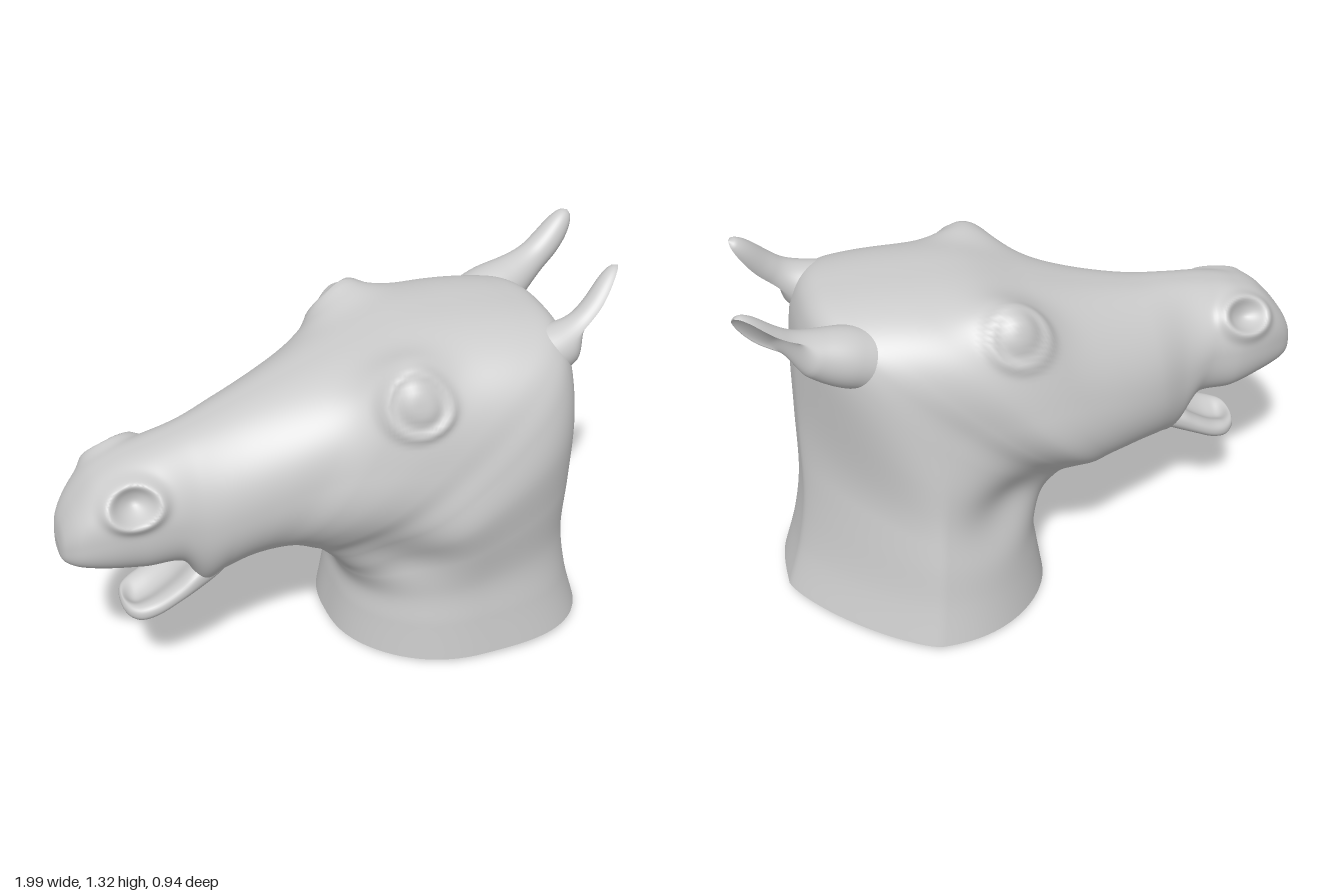
import * as THREE from 'three';

const V = (x, y, z) => new THREE.Vector3(x, y, z);
const material = new THREE.MeshStandardMaterial({ color: 0xcccccc, side: THREE.DoubleSide });
const bell = (d) => Math.exp(-d * d);
const smooth = THREE.MathUtils.smoothstep;
const lerp = THREE.MathUtils.lerp;

// Catmull-Rom interpolation through rows of numbers, t in 0..1
function sample(rows, t) {
  const f = t * (rows.length - 1);
  const i = Math.min(Math.floor(f), rows.length - 2);
  const k = f - i;
  const row = (j) => rows[THREE.MathUtils.clamp(j, 0, rows.length - 1)];
  return rows[i].map((b, c) => {
    const a = row(i - 1)[c], d = row(i + 1)[c], e = row(i + 2)[c];
    return b + 0.5 * k * (d - a + k * (2 * a - 5 * b + 4 * d - e + k * (3 * (b - d) + e - a)));
  });
}

// Surface through closed rings: point(t, angle) gives each vertex
function loft(rings, sides, point) {
  const pos = [], index = [];
  for (let i = 0; i <= rings; i++) {
    for (let j = 0; j < sides; j++) {
      const p = point(i / rings, (j / sides) * Math.PI * 2);
      pos.push(p.x, p.y, p.z);
      if (i === rings) continue;
      const a = i * sides + j, b = i * sides + ((j + 1) % sides);
      index.push(a, a + sides, b, b, a + sides, b + sides);
    }
  }
  const g = new THREE.BufferGeometry();
  g.setAttribute('position', new THREE.Float32BufferAttribute(pos, 3));
  g.setIndex(index);
  g.computeVertexNormals();
  return g;
}

// Rounded-square unit ring
function squircle(angle, n) {
  const c = Math.cos(angle), s = Math.sin(angle);
  const r = (Math.abs(c) ** n + Math.abs(s) ** n) ** (-1 / n);
  return [c * r, s * r];
}

// Rings fanning from neck base to nose: crest x, y, throat x, y, right z, left z
const HEAD = [
  [0.87, 0.03, -0.03, 0.0, -0.47, 0.42],
  [0.82, 0.2, -0.01, 0.13, -0.445, 0.41],
  [0.79, 0.4, 0.0, 0.22, -0.43, 0.405],
  [0.785, 0.65, -0.02, 0.29, -0.41, 0.44],
  [0.78, 0.9, -0.05, 0.34, -0.4, 0.472],
  [0.76, 1.08, -0.09, 0.38, -0.39, 0.462],
  [0.71, 1.17, -0.13, 0.41, -0.385, 0.445],
  [0.6, 1.2, -0.18, 0.43, -0.395, 0.435],
  [0.4, 1.21, -0.23, 0.445, -0.4, 0.415],
  [0.2, 1.195, -0.28, 0.45, -0.36, 0.385],
  [0.0, 1.13, -0.34, 0.445, -0.3, 0.35],
  [-0.2, 1.065, -0.4, 0.44, -0.245, 0.335],
  [-0.4, 1.01, -0.47, 0.425, -0.18, 0.33],
  [-0.55, 0.98, -0.54, 0.41, -0.11, 0.33],
  [-0.68, 0.955, -0.61, 0.53, -0.075, 0.335],
  [-0.78, 0.93, -0.74, 0.55, -0.065, 0.33],
  [-0.87, 0.89, -0.85, 0.575, -0.03, 0.325],
  [-0.94, 0.82, -0.94, 0.595, 0.02, 0.295],
  [-0.985, 0.75, -0.985, 0.61, 0.07, 0.25],
  [-1.0, 0.69, -1.0, 0.63, 0.12, 0.21],
  [-1.0, 0.66, -1.0, 0.66, 0.165, 0.165],
];

function headPoint(t, angle) {
  const [tx, ty, bx, by, zr, zl] = sample(HEAD, t);
  const row = t * (HEAD.length - 1);
  const snout = smooth(row, 9, 12) * (1 - smooth(row, 14, 17));
  const neck = 1 - smooth(row, 2.5, 6.5);
  // the neck is square on one back corner and cut off on the other
  let n = 2.7;
  if (Math.cos(angle) > 0) n = lerp(n, Math.sin(angle) < 0 ? 1.3 : 3.1, neck);
  const [u, w] = squircle(angle, n);
  const x = (tx + bx) / 2 + (u * (tx - bx)) / 2;
  const y = (ty + by) / 2 + (u * (ty - by)) / 2;
  // narrow nose bridge, slimmer jaw
  const jaw = 0.25 * (1 - smooth(row, 13, 15));
  let width = 1 - 0.3 * snout * Math.max(0, u) ** 2 - jaw * Math.max(0, -u) ** 2;
  // hollow between cheek and neck
  width -= 0.17 * bell(Math.hypot(x - 0.12, (y - 0.44) * 1.2) / 0.15);
  return V(x, y, (zr + zl) / 2 + ((zl - zr) / 2) * w * width);
}

// Relief profiles; d = 1 on the rim
const eyeRelief = (d) => 0.018 * bell((d - 1.05) / 0.22) + 0.024 * bell((d / 0.68) ** 2);
const nostrilRelief = (d) => 0.025 * bell((d - 1) / 0.3) - 0.04 * bell(d / 0.6);
const browRelief = (d) => 0.07 * bell(d);
const FEATURES = [
  { at: V(0.15, 1.035, 0.36), axis: V(0, 0.25, 1), rx: 0.1, ry: 0.08, relief: eyeRelief },
  { at: V(0.1, 1.08, -0.31), axis: V(-0.1, 0.6, -0.8), rx: 0.1, ry: 0.08, relief: eyeRelief },
  { at: V(0.12, 1.15, 0.32), axis: V(0, 0.85, 0.4), rx: 0.13, ry: 0.1, relief: browRelief },
  { at: V(0.1, 1.16, -0.27), axis: V(0, 0.9, -0.35), rx: 0.13, ry: 0.1, relief: browRelief },
  { at: V(-0.77, 0.84, 0.3), axis: V(-0.1, 0.3, 1), rx: 0.085, ry: 0.068, relief: nostrilRelief },
  { at: V(-0.78, 0.86, -0.01), axis: V(-0.1, 0.6, -0.8), rx: 0.085, ry: 0.068, relief: nostrilRelief },
];

// Push eyes, brows and nostrils out of the smooth head
function sculpt(g) {
  const pos = g.attributes.position, nor = g.attributes.normal;
  const p = V(), n = V(), move = V();
  for (const f of FEATURES) {
    f.axis.normalize();
    f.u = V(1, 0, 0).addScaledVector(f.axis, -f.axis.x).normalize();
    f.v = f.axis.clone().cross(f.u);
  }
  for (let i = 0; i < pos.count; i++) {
    p.fromBufferAttribute(pos, i);
    n.fromBufferAttribute(nor, i);
    move.set(0, 0, 0);
    for (const f of FEATURES) {
      const o = p.clone().sub(f.at);
      const d = Math.hypot(o.dot(f.u) / f.rx, o.dot(f.v) / f.ry);
      const facing = smooth(n.dot(f.axis), 0.05, 0.4);
      if (d < 3 && facing > 0) move.addScaledVector(f.axis, f.relief(d) * facing);
    }
    p.add(move);
    pos.setXYZ(i, p.x, p.y, p.z);
  }
  g.computeVertexNormals();
  return g;
}

// Lower jaw: x, top y, bottom y, half width
const JAW = [
  [-0.4, 0.54, 0.47, 0.06],
  [-0.48, 0.535, 0.425, 0.11],
  [-0.56, 0.525, 0.39, 0.135],
  [-0.63, 0.47, 0.36, 0.135],
  [-0.7, 0.425, 0.325, 0.125],
  [-0.755, 0.405, 0.312, 0.11],
  [-0.79, 0.39, 0.325, 0.08],
  [-0.805, 0.37, 0.345, 0.04],
  [-0.808, 0.357, 0.357, 0],
];

function jawPoint(t, angle) {
  const [x, top, bottom, half] = sample(JAW, t);
  const [u, w] = squircle(angle, 2.4);
  const scoop = u > 0 ? 0.055 * u * bell(w / 0.65) * (1 - smooth(t, 0.6, 0.85)) : 0;
  return V(x, (top + bottom) / 2 + (u * (top - bottom)) / 2 - scoop, lerp(0.11, 0.145, t) + w * half);
}

// Cupped ear following a curve, open towards the given direction
function ear(name, points, open) {
  const path = new THREE.CatmullRomCurve3(points);
  const g = loft(50, 40, (t, angle) => {
    const axis = path.getTangent(t);
    const front = open.clone().addScaledVector(axis, -open.dot(axis)).normalize();
    const side = axis.clone().cross(front);
    const round = Math.sqrt(Math.max(0, 1 - t ** 6));
    const half = lerp(0.1, 0.055, smooth(t, 0.1, 0.6)) * round;
    const s = Math.sin(angle);
    const cup = lerp(1, -0.4, smooth(t, 0.35, 0.6));
    const depth = (s > 0 ? s * cup : s) * half;
    return path.getPoint(t).addScaledVector(side, Math.cos(angle) * half).addScaledVector(front, depth);
  });
  return part(name, g);
}

function part(name, geometry) {
  const mesh = new THREE.Mesh(geometry, material);
  mesh.name = name;
  return mesh;
}

export function createModel() {
  const group = new THREE.Group();
  group.name = 'horseHead';
  group.add(
    part('headAndNeck', sculpt(loft(280, 168, headPoint))),
    part('lowerJaw', loft(50, 60, jawPoint)),
    ear('leftSideEar', [V(0.56, 1.04, 0.19), V(0.72, 1.1, 0.215), V(0.84, 1.19, 0.2), V(0.94, 1.32, 0.15)], V(0.8, -0.5, 0.35)),
    ear('rightSideEar', [V(0.58, 1.05, -0.22), V(0.74, 1.115, -0.25), V(0.88, 1.2, -0.285), V(0.98, 1.31, -0.31)], V(0.5, -0.4, -0.75)),
  );
  return group;
}
